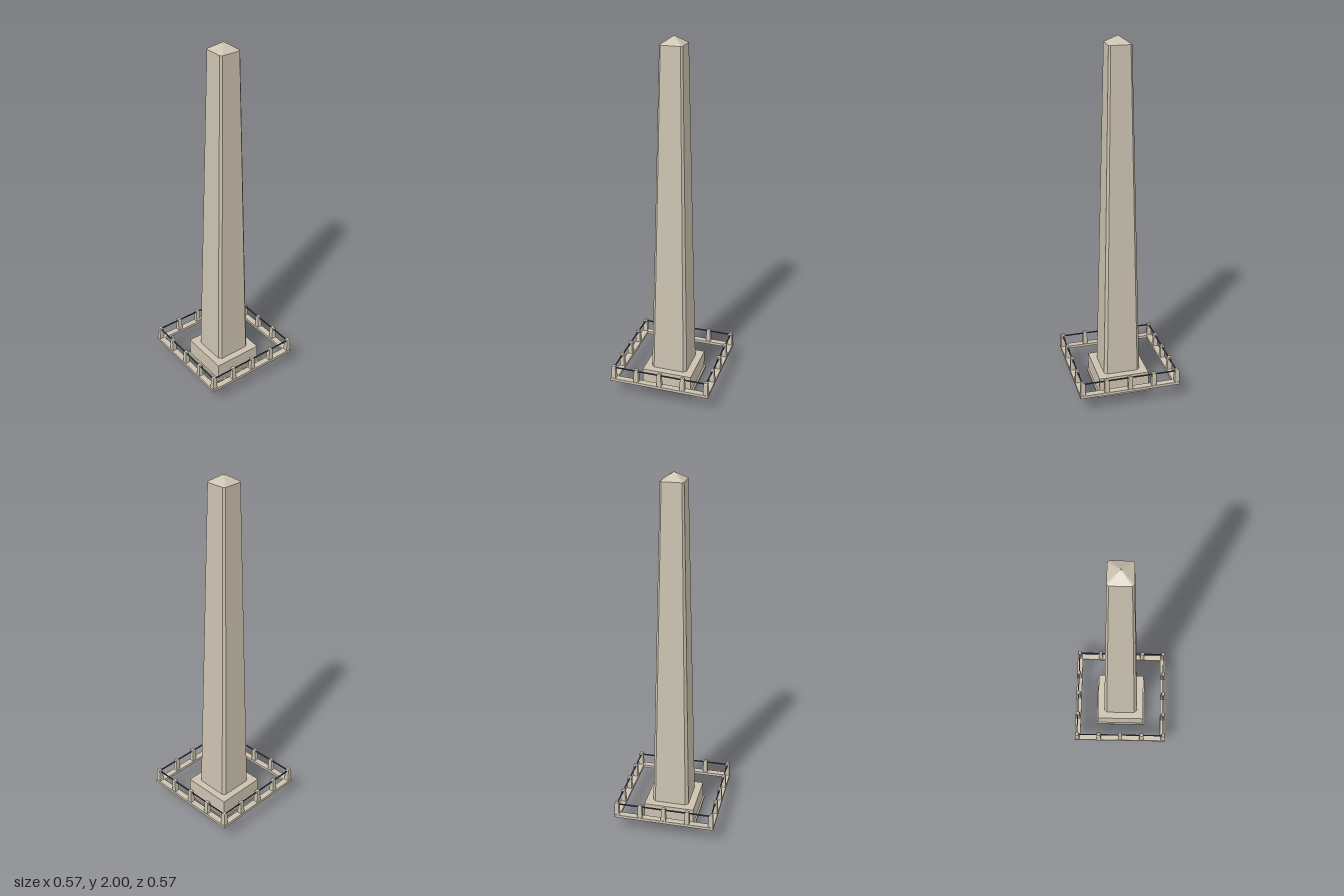
import * as THREE from 'three';

// Square outline of half-width h, corners cut by fraction cut (0 = sharp)
function outline(h, cut) {
  const k = h * (1 - cut), pts = [];
  for (const [sx, sz] of [[1, 1], [-1, 1], [-1, -1], [1, -1]]) {
    if (cut === 0) pts.push([sx * h, sz * h]);
    else if (sx * sz > 0) pts.push([sx * h, sz * k], [sx * k, sz * h]);
    else pts.push([sx * k, sz * h], [sx * h, sz * k]);
  }
  return pts;
}

// Flat-faced solid through rings [half-width, y], bottom to top, capped at both ends
function loft(rings, cut = 0) {
  const pos = [];
  const tri = (...p) => p.forEach((v) => pos.push(...v));
  const loops = rings.map(([h, y]) => outline(h, cut).map(([x, z]) => [x, y, z]));
  const n = loops[0].length, last = rings.length - 1;
  for (let i = 0; i < n; i++) {
    const j = (i + 1) % n;
    for (let r = 0; r < last; r++) {
      const lo = loops[r], up = loops[r + 1];
      tri(lo[i], up[j], lo[j]);
      if (rings[r + 1][0] > 0) tri(lo[i], up[i], up[j]);
    }
    tri([0, rings[0][1], 0], loops[0][i], loops[0][j]);
    if (rings[last][0] > 0) tri([0, rings[last][1], 0], loops[last][j], loops[last][i]);
  }
  const geo = new THREE.BufferGeometry();
  geo.setAttribute('position', new THREE.Float32BufferAttribute(pos, 3));
  geo.computeVertexNormals();
  return geo;
}

export function createModel() {
  const model = new THREE.Group();
  model.name = 'obelisk';
  const stone = new THREE.MeshStandardMaterial({ color: 0xccc2b0 });
  stone.name = 'pale stone';
  const iron = new THREE.MeshStandardMaterial({ color: 0x444b55 });
  iron.name = 'dark iron';

  const add = (name, geo, mat, parent = model) => {
    const mesh = new THREE.Mesh(geo, mat);
    mesh.name = name;
    parent.add(mesh);
    return mesh;
  };

  // Stepped base
  add('baseSlab', loft([[0.152, 0], [0.152, 0.015]]), stone);
  add('pedestal', loft([[0.143, 0.015], [0.143, 0.115]]), stone);

  // Tapering shaft with chamfered corners, and its pointed cap
  add('shaft', loft([[0.1035, 0.115], [0.061, 1.96]], 0.155), stone);
  add('pointedCap', loft([[0.061, 1.96], [0, 2]], 0.155), stone);

  // Square kerb carrying the fence
  const fence = new THREE.Group();
  fence.name = 'fence';
  model.add(fence);
  const toShape = (h, Type) => new Type(outline(h, 0).map(([x, z]) => new THREE.Vector2(x, z)));
  const kerbShape = toShape(0.284, THREE.Shape);
  kerbShape.holes.push(toShape(0.25, THREE.Path));
  const kerbGeo = new THREE.ExtrudeGeometry(kerbShape, { depth: 0.016, bevelEnabled: false });
  kerbGeo.rotateX(-Math.PI / 2);
  add('kerb', kerbGeo, stone, fence).position.y = 0.1;

  // Four sides, each with a rail and four posts (corner posts shared)
  const reach = 0.268;
  const postGeo = loft([[0.0135, 0.115], [0.0115, 0.186], [0.009, 0.192]]);
  const railGeo = new THREE.BoxGeometry(2 * reach, 0.006, 0.006);
  for (let s = 0; s < 4; s++) {
    const side = new THREE.Group();
    side.name = 'fenceSide' + (s + 1);
    side.rotation.y = s * Math.PI / 2;
    fence.add(side);
    add('rail', railGeo, iron, side).position.set(0, 0.181, reach);
    for (let i = 0; i < 4; i++) {
      add('post', postGeo, stone, side).position.set(-reach + i * reach / 2, 0, reach);
    }
  }
  return model;
}
